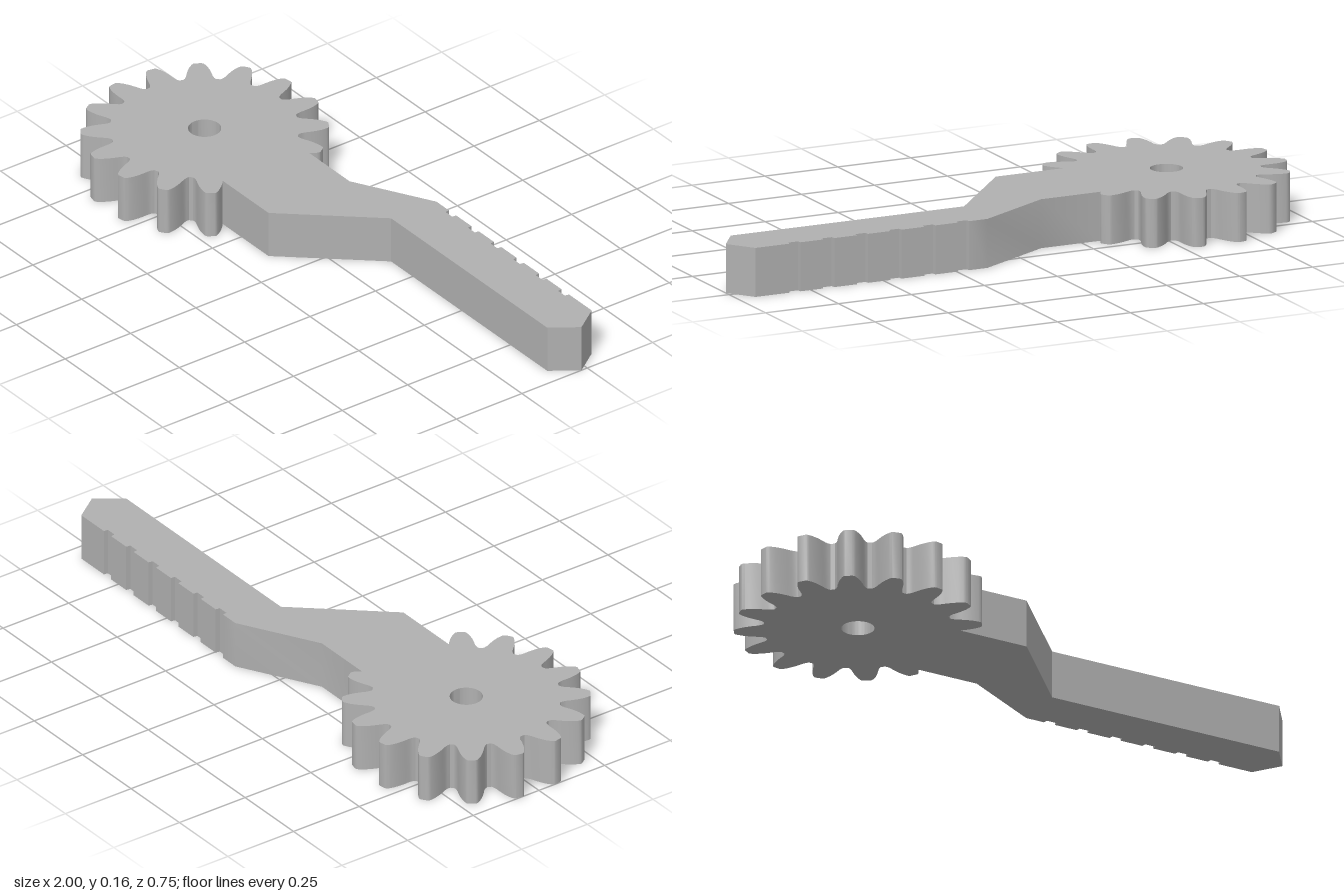
import * as THREE from 'three';
import { toCreasedNormals } from 'three/addons/utils/BufferGeometryUtils.js';

const HEIGHT = 0.155;
const CENTER_X = -0.625;
const TEETH = 16;

// One gear flank from root to tip: [distance from gear centre, half width of tooth]
const FLANK = [
  [0.286, 0.05], [0.293, 0.045], [0.305, 0.041], [0.32, 0.0385],
  [0.34, 0.034], [0.358, 0.028], [0.372, 0.021], [0.379, 0.016], [0.381, 0.011],
];

// Points of one tooth, in counter-clockwise order
function toothPoints(angle) {
  const profile = [
    ...FLANK.map(([r, w]) => [r, -w]),
    ...FLANK.slice().reverse(),
  ];
  const c = Math.cos(angle), s = Math.sin(angle);
  return profile.map(([r, w]) => new THREE.Vector2(CENTER_X + r * c - w * s, r * s + w * c));
}

function wrenchOutline() {
  const points = [];

  // Gear teeth, leaving out the two that merge into the arm
  const count = TEETH - 2;
  for (let i = 0; i < count; i++) {
    const angle = (i + 1.5) * (2 * Math.PI / TEETH);
    let tooth = toothPoints(angle);
    if (i === 0) tooth = tooth.filter((p) => p.y > 0.172);
    if (i === count - 1) tooth = tooth.filter((p) => p.y < -0.142);
    points.push(...tooth);
  }

  // Front edge of the arm, pointed end and start of the back edge
  const add = (x, y) => points.push(new THREE.Vector2(x, y));
  add(-0.347, -0.14);
  add(-0.11, -0.14);
  add(0.14, 0.142);
  add(0.94, 0.142);
  add(1, 0.228);
  add(0.94, 0.312);

  // Grip notches along the back edge
  for (let i = 5; i >= 0; i--) {
    const x = 0.208 + i * 0.1155;
    add(x + 0.038, 0.312);
    add(x + 0.036, 0.298);
    add(x + 0.002, 0.298);
    add(x, 0.312);
  }

  // Bend back down to the gear
  add(0.145, 0.312);
  add(-0.11, 0.17);
  add(-0.316, 0.17);
  return new THREE.Shape(points);
}

export function createModel() {
  const group = new THREE.Group();
  group.name = 'gearLever';
  const gray = new THREE.MeshStandardMaterial({ color: 0xb0b0b0 });
  gray.name = 'gray';

  // Gear and arm as one flat plate with a round axle hole
  const shape = wrenchOutline();
  shape.holes.push(new THREE.Path().absarc(CENTER_X, 0, 0.051, 0, Math.PI * 2, true));
  const plate = new THREE.ExtrudeGeometry(shape, {
    depth: HEIGHT, bevelEnabled: false, curveSegments: 32,
  });
  plate.rotateX(-Math.PI / 2);

  const mesh = new THREE.Mesh(toCreasedNormals(plate, 0.6), gray);
  mesh.name = 'gearWithArm';
  group.add(mesh);
  return group;
}
